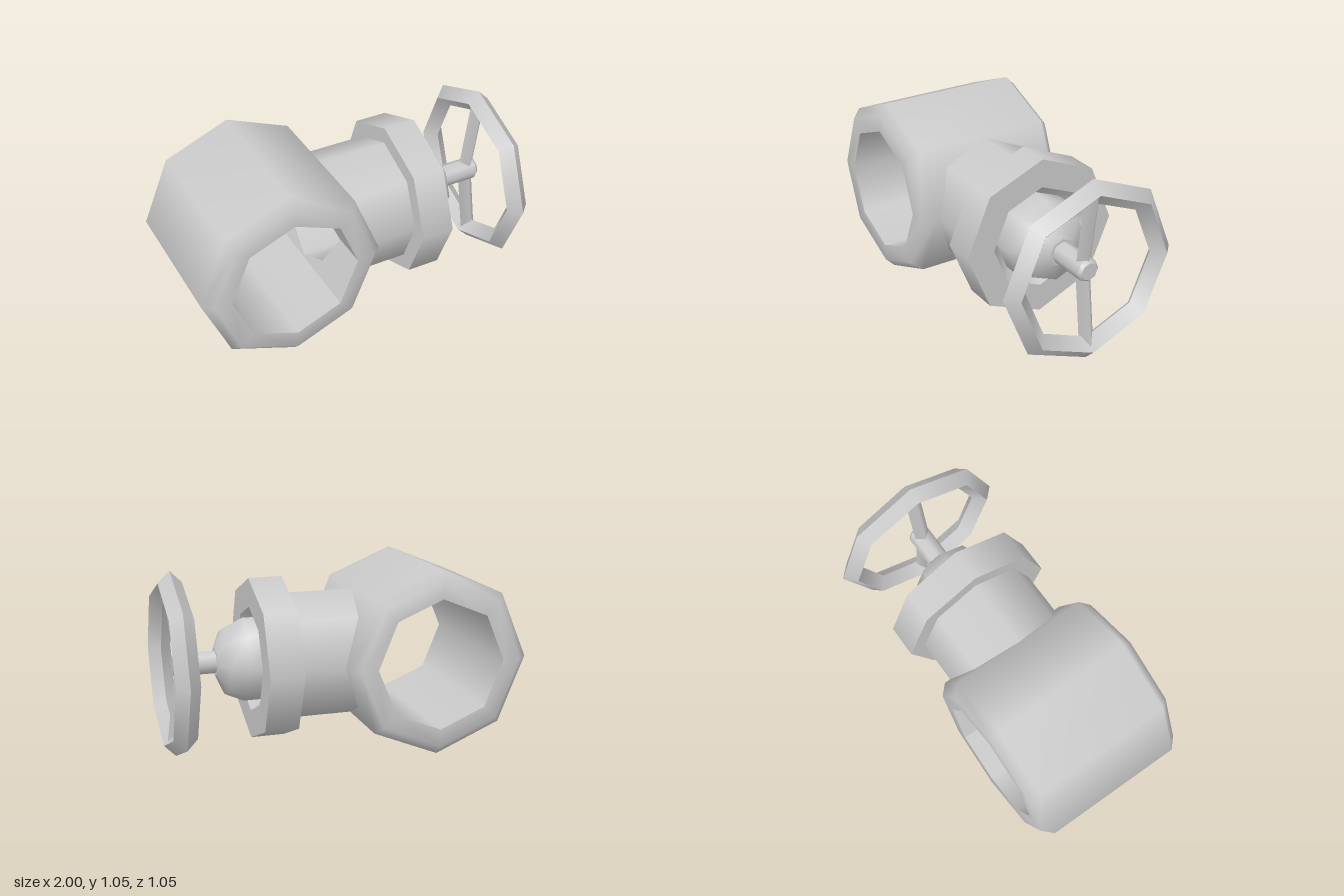
import * as THREE from 'three';
import { mergeGeometries } from 'three/addons/utils/BufferGeometryUtils.js';

const SIDES = 8;
const CY = 0.53;      // height of both pipe axes
const PIPE_X = -0.473; // centre of the main pipe
const BORE = 0.37, HALF = 0.458, PORT = 0.25;

const grey = new THREE.MeshStandardMaterial({ color: 0xcccccc });
const greyDouble = new THREE.MeshStandardMaterial({ color: 0xcccccc, side: THREE.DoubleSide });

export function createModel() {
  const model = new THREE.Group();

  const add = (name, geometry, material = grey) => {
    const mesh = new THREE.Mesh(geometry, material);
    mesh.name = name;
    model.add(mesh);
    return mesh;
  };

  // Eight-sided turned solid; each run of [radius, position] is smooth, runs meet in sharp edges
  const turned = (...runs) => mergeGeometries(runs.map(run =>
    new THREE.LatheGeometry(run.map(([r, h]) => new THREE.Vector2(r, h)), SIDES)));
  // Turned along x on the valve axis
  const alongX = (...runs) => turned(...runs).rotateZ(-Math.PI / 2).translate(0, CY, 0);
  // Splits a profile so that every edge is sharp
  const sharp = pts => pts.slice(1).map((p, i) => [pts[i], p]);

  // Main pipe along z with softened rims
  add('mainPipe', turned([
    [BORE, -HALF], [0.47, -HALF], [0.527, -0.403],
    [0.527, 0.403], [0.47, HALF], [BORE, HALF],
  ]).rotateX(Math.PI / 2).translate(PIPE_X, CY, 0));

  // Bore: six plain sides, leaving out the two that meet the branch
  const wall = new THREE.CylinderGeometry(BORE, BORE, 2 * HALF, 6, 1, true, Math.PI * 0.75, Math.PI * 1.5);
  add('pipeBore', wall.rotateX(Math.PI / 2).translate(PIPE_X, CY, 0), greyDouble);

  // The two bore sides with half of the branch port cut from each
  const cos = Math.cos(Math.PI / 8), sin = Math.sin(Math.PI / 8);
  const len = 2 * BORE * sin, d = PORT * Math.SQRT1_2;
  for (const s of [1, -1]) {
    const panel = new THREE.ShapeGeometry(new THREE.Shape([
      [-HALF, 0], [-PORT, 0], [-d, d / cos], [0, PORT / cos], [d, d / cos],
      [PORT, 0], [HALF, 0], [HALF, len], [-HALF, len],
    ].map(p => new THREE.Vector2(...p))));
    const pos = panel.attributes.position;
    for (let i = 0; i < pos.count; i++) {
      const z = pos.getX(i), t = pos.getY(i);
      pos.setXYZ(i, PIPE_X + BORE - t * sin, CY + s * t * cos, z);
    }
    panel.computeVertexNormals();
    add(s > 0 ? 'upperPortWall' : 'lowerPortWall', panel, greyDouble);
  }

  // Branch pipe: its inner end follows the given roof-shaped side of the main pipe
  const branch = (radius, ridge) => {
    const g = alongX([[radius, 0], [radius, 0.32]]);
    const pos = g.attributes.position;
    for (let i = 0; i < pos.count; i++) {
      if (pos.getX(i) < 0.1) {
        pos.setX(i, PIPE_X + ridge - Math.abs(pos.getY(i) - CY) * Math.tan(Math.PI / 8));
      }
    }
    return g;
  };
  add('branchPipe', branch(0.367, 0.5));
  add('branchBore', branch(PORT, BORE), greyDouble);

  // Collar with a tapered recess
  add('collar', alongX(...sharp([
    [0, 0.31], [0.462, 0.31], [0.462, 0.5], [0.3, 0.5], [0.24, 0.42], [0, 0.42],
  ])));

  // Domed bonnet
  add('bonnet', alongX([[0.24, 0.42], [0.24, 0.54], [0.19, 0.65], [0.08, 0.7]], [[0.08, 0.7], [0, 0.7]]));

  // Stem with a chamfered tip
  add('stem', alongX(...sharp([[0.065, 0.68], [0.065, 0.92], [0.05, 0.937], [0, 0.937]])));

  // Handwheel rim of diamond section
  add('handwheelRim', alongX(...sharp([
    [0.461, 0.868], [0.527, 0.934], [0.461, 1], [0.395, 0.934], [0.461, 0.868],
  ])));

  // Two dished spokes from the stem to the rim
  const up = new THREE.Vector3(0, 1, 0);
  for (const s of [1, -1]) {
    const a = new THREE.Vector3(0.875, CY, 0);
    const b = new THREE.Vector3(0.932, CY + s * 0.44, 0);
    const dir = b.clone().sub(a);
    const spoke = add(s > 0 ? 'upperSpoke' : 'lowerSpoke',
      new THREE.CylinderGeometry(0.046, 0.046, dir.length(), 4));
    spoke.position.copy(a).add(b).multiplyScalar(0.5);
    // Tilt about z only, so the section keeps its corners facing forwards
    spoke.rotation.z = -Math.atan2(dir.x, dir.y * s) * s;
  }

  return model;
}
